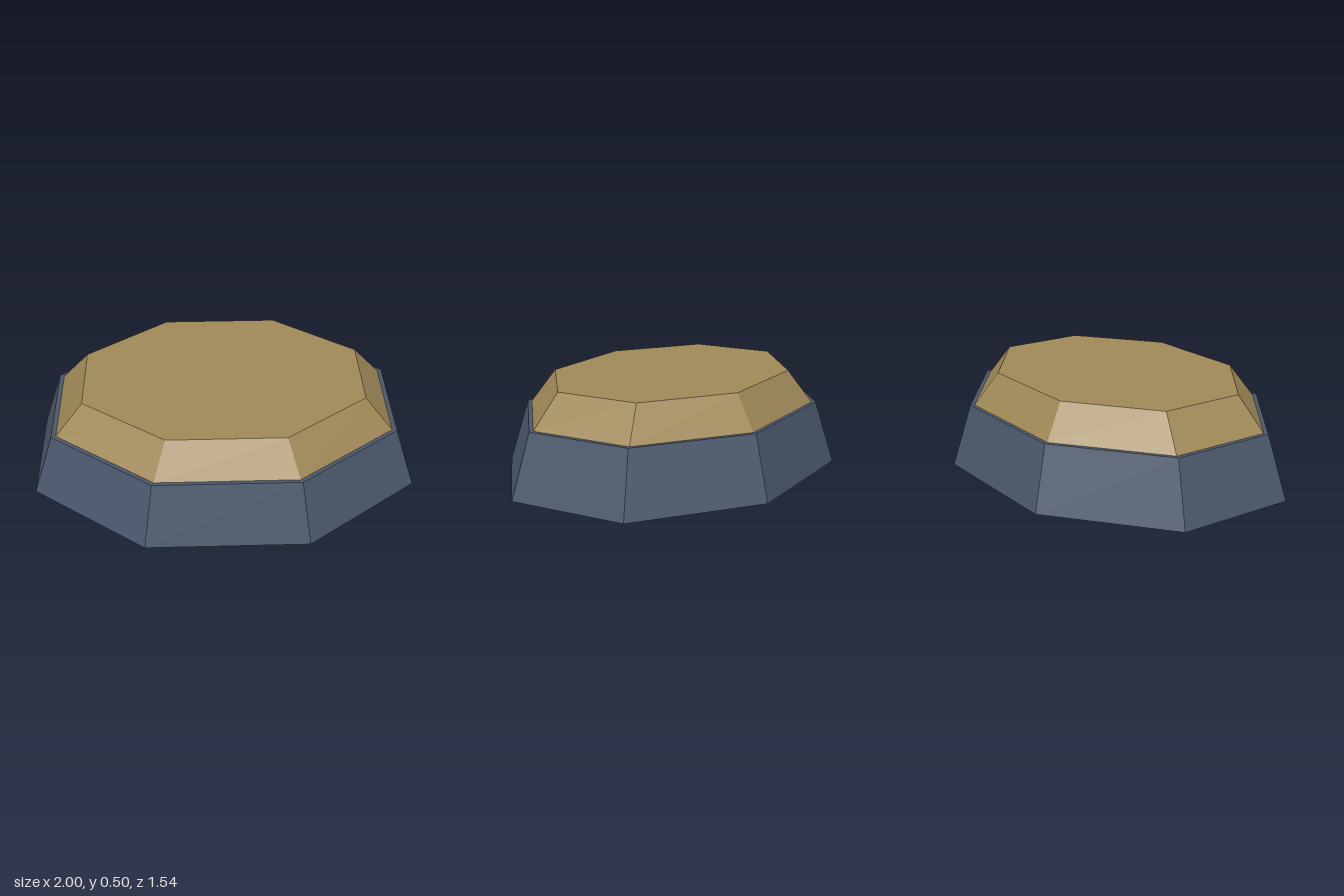
import * as THREE from 'three';

// Eight-sided frustum, sized by half-widths in x and z at its bottom and top
function frustum(name, color, y0, y1, bottom, top) {
  const r = 1 / Math.cos(Math.PI / 8); // flats lie at distance 1
  const geo = new THREE.CylinderGeometry(r, r, 1, 8, 1, false, Math.PI / 8);
  const p = geo.attributes.position;
  for (let i = 0; i < p.count; i++) {
    const upper = p.getY(i) > 0;
    const [hx, hz] = upper ? top : bottom;
    p.setXYZ(i, p.getX(i) * hx, upper ? y1 : y0, p.getZ(i) * hz);
  }
  geo.computeVertexNormals();
  const mesh = new THREE.Mesh(geo, new THREE.MeshStandardMaterial({ color, flatShading: true }));
  mesh.name = name;
  return mesh;
}

export function createModel() {
  const group = new THREE.Group();
  group.name = 'octagonalPlatform';
  // Dark sloping base with a narrow ledge on top
  group.add(frustum('base', 0x4b586b, 0, 0.328, [1, 0.772], [0.894, 0.682]));
  // Tan cap, more strongly tapered
  group.add(frustum('cap', 0xa08958, 0.328, 0.5, [0.87, 0.662], [0.727, 0.546]));
  return group;
}
